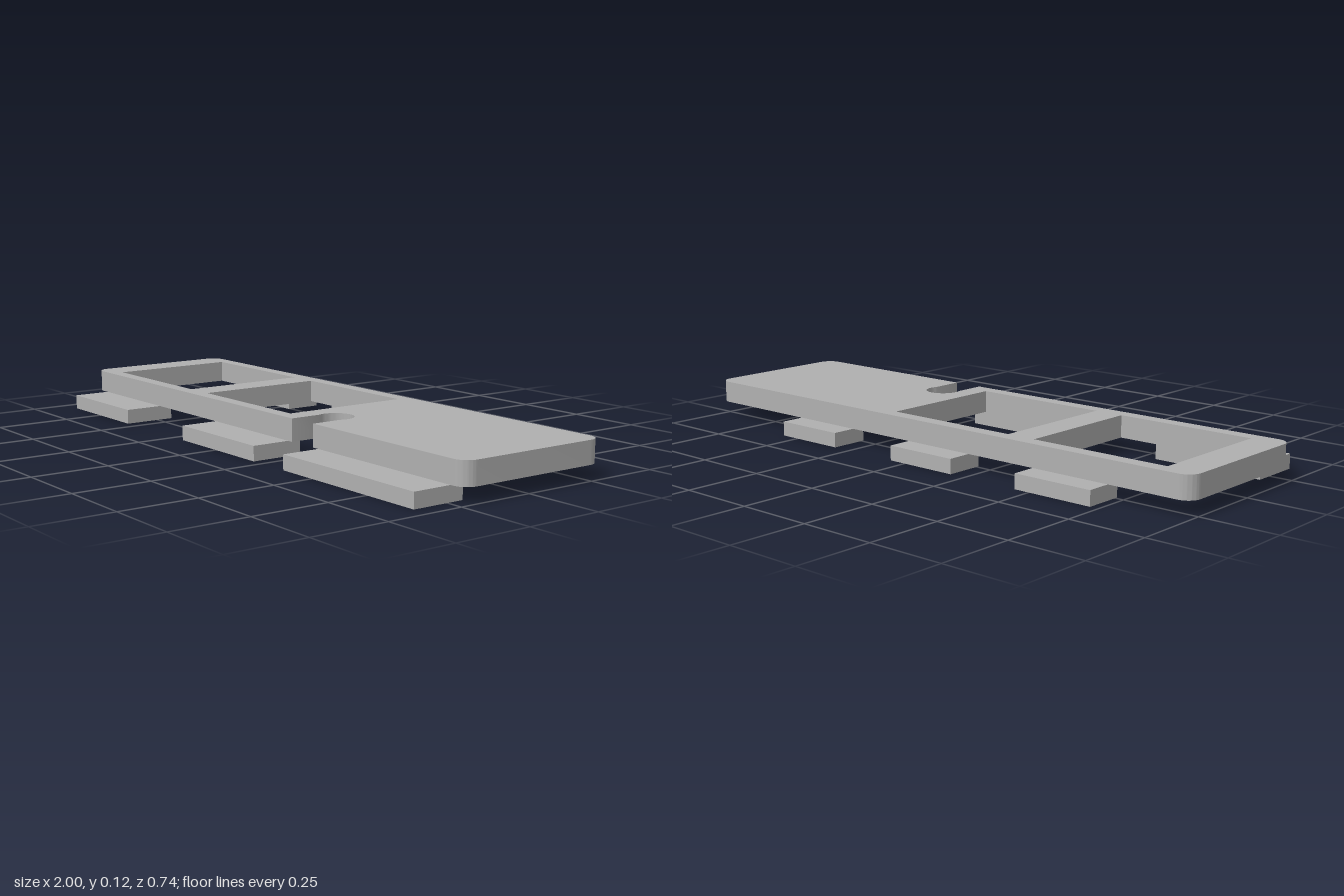
import * as THREE from 'three';
import { toCreasedNormals } from 'three/addons/utils/BufferGeometryUtils.js';

const PLATE_BOTTOM = 0.048, PLATE_TOP = 0.121;
const FRONT = 0.24, BACK = -0.288, TAB_REACH = 0.368;
const WINDOW_FRONT = 0.195, WINDOW_BACK = -0.242;

// The plan is drawn with shape y = -z, then laid flat.
function plateGeometry() {
  const r = 0.045, notchX = 0.284, notchZ = 0.113, notchR = 0.058, neck = 0.053;
  const a = Math.acos(neck / notchR);
  const s = new THREE.Shape();
  s.moveTo(-1 + r, -FRONT);
  // keyhole notch in the front edge
  s.lineTo(notchX - neck, -FRONT);
  s.absarc(notchX, -notchZ, notchR, Math.PI + a, -a, true);
  s.lineTo(notchX + neck, -FRONT);
  // rounded corners
  s.absarc(1 - r, -FRONT + r, r, -Math.PI / 2, 0, false);
  s.absarc(1 - r, -BACK - r, r, 0, Math.PI / 2, false);
  s.absarc(-1 + r, -BACK - r, r, Math.PI / 2, Math.PI, false);
  s.absarc(-1 + r, -FRONT + r, r, Math.PI, Math.PI * 1.5, false);
  // two square windows
  for (const [x0, x1] of [[-0.89, -0.415], [-0.315, 0.16]]) {
    const h = new THREE.Path();
    h.moveTo(x0, -WINDOW_FRONT);
    h.lineTo(x0, -WINDOW_BACK);
    h.lineTo(x1, -WINDOW_BACK);
    h.lineTo(x1, -WINDOW_FRONT);
    h.closePath();
    s.holes.push(h);
  }
  const g = new THREE.ExtrudeGeometry(s, {
    depth: PLATE_TOP - PLATE_BOTTOM, bevelEnabled: false, curveSegments: 16,
  });
  g.rotateX(-Math.PI / 2);
  g.translate(0, PLATE_BOTTOM, 0);
  return toCreasedNormals(g, 0.5);
}

export function createModel() {
  const group = new THREE.Group();
  group.name = 'mountingPlate';
  const grey = new THREE.MeshStandardMaterial({ color: 0xb0b0b0 });
  grey.name = 'grey';

  const plate = new THREE.Mesh(plateGeometry(), grey);
  plate.name = 'plate';
  group.add(plate);

  // flat tabs fixed under the front and back edges
  const addTabs = (name, spans, z0, z1) => spans.forEach(([x0, x1], i) => {
    const tab = new THREE.Mesh(new THREE.BoxGeometry(x1 - x0, PLATE_BOTTOM, z1 - z0), grey);
    tab.position.set((x0 + x1) / 2, PLATE_BOTTOM / 2, (z0 + z1) / 2);
    tab.name = name + (i + 1);
    group.add(tab);
  });
  addTabs('frontTab', [[-0.925, -0.55], [-0.195, 0.21], [0.362, 0.945]], WINDOW_FRONT, TAB_REACH);
  addTabs('backTab', [[-0.722, -0.448], [-0.195, 0.06], [0.315, 0.567]], -TAB_REACH, WINDOW_BACK);
  return group;
}
